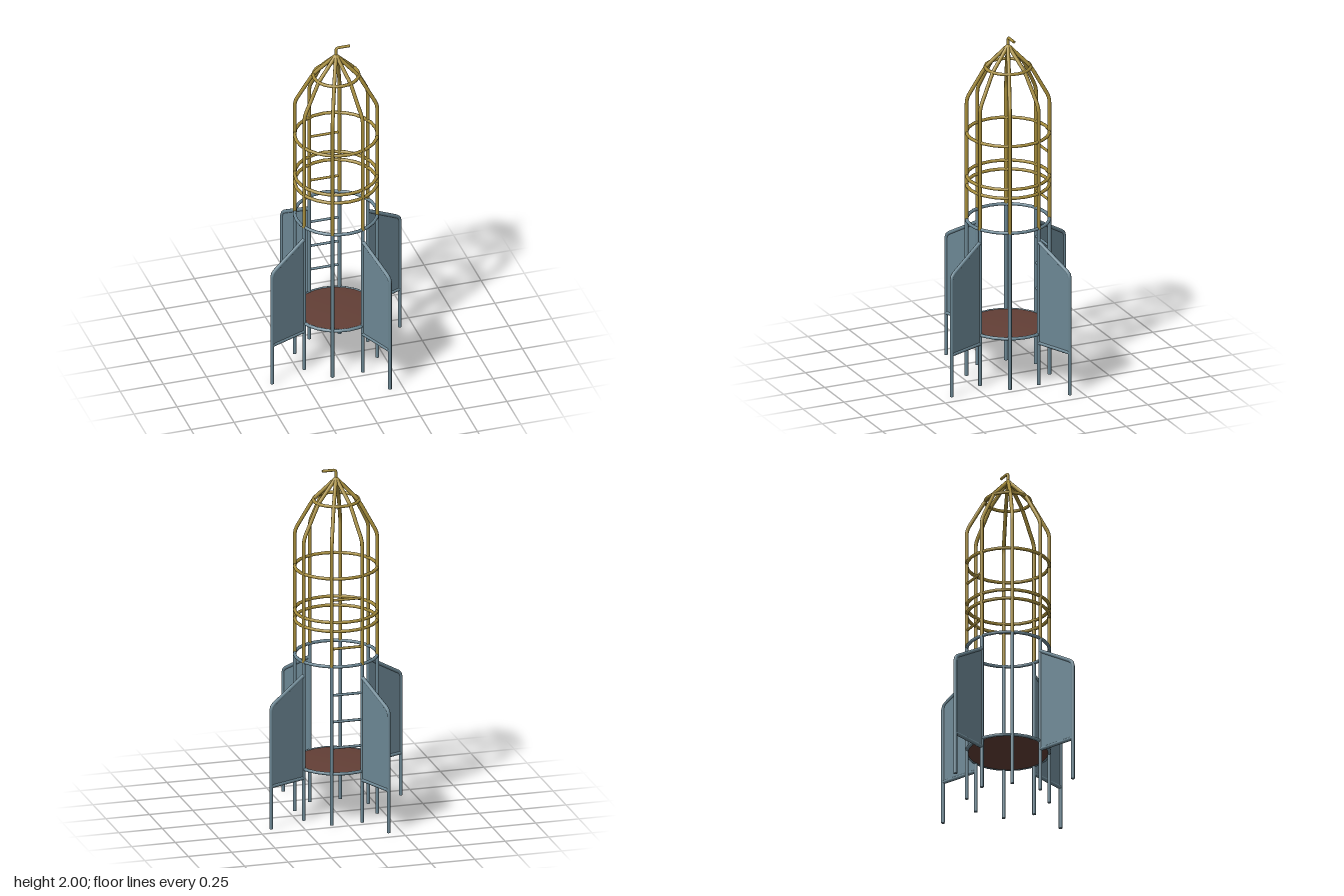
import * as THREE from 'three';
import { mergeVertices } from 'three/addons/utils/BufferGeometryUtils.js';

const steel = new THREE.MeshStandardMaterial({ color: 0x6c8794 });
steel.name = 'blueGreySteel';
const gold = new THREE.MeshStandardMaterial({ color: 0xa68d3c });
gold.name = 'mustardSteel';
const brown = new THREE.MeshStandardMaterial({ color: 0x633f36 });
brown.name = 'brownFloor';

const R = 0.229;      // radius of the cage
const FIN_R = 0.461;  // radius of the outer fin posts
const PIPE = 0.0105;
const V = (x, y, z = 0) => new THREE.Vector3(x, y, z);

function add(parent, name, geometry, material) {
  const mesh = new THREE.Mesh(geometry, material);
  mesh.name = name;
  parent.add(mesh);
  return mesh;
}

// Straight capped pipe between two points
function rod(parent, name, a, b, r, material) {
  const mesh = add(parent, name, new THREE.CylinderGeometry(r, r, a.distanceTo(b), 10), material);
  mesh.position.copy(a).add(b).multiplyScalar(0.5);
  mesh.quaternion.setFromUnitVectors(V(0, 1, 0), b.clone().sub(a).normalize());
  return mesh;
}

// Pipe through points, with rounded bends and closed ends
function bentPipe(parent, name, points, r, bend, material, segments = 48) {
  const path = new THREE.CurvePath();
  let from = points[0];
  for (let i = 1; i < points.length - 1; i++) {
    const p = points[i];
    const a = p.clone().add(points[i - 1].clone().sub(p).setLength(bend));
    const b = p.clone().add(points[i + 1].clone().sub(p).setLength(bend));
    path.add(new THREE.LineCurve3(from, a));
    path.add(new THREE.QuadraticBezierCurve3(a, p, b));
    from = b;
  }
  const end = points[points.length - 1];
  path.add(new THREE.LineCurve3(from, end));
  add(parent, name, new THREE.TubeGeometry(path, segments, r, 10), material);
  [[points[0], points[1]], [end, points[points.length - 2]]].forEach(([p, q]) => {
    const cap = add(parent, name + 'Cap', new THREE.CircleGeometry(r, 10), material);
    cap.position.copy(p);
    cap.quaternion.setFromUnitVectors(V(0, 0, 1), p.clone().sub(q).normalize());
  });
}

function ring(parent, name, y, radius, material) {
  const mesh = add(parent, name, new THREE.TorusGeometry(radius, 0.0095, 8, 24), material);
  mesh.rotation.x = Math.PI / 2;
  mesh.position.y = y;
}

// One fin lying in the xy plane, reaching out along +x
function makeFin() {
  const fin = new THREE.Group();
  fin.name = 'fin';
  bentPipe(fin, 'finFrame', [V(FIN_R, 0), V(FIN_R, 0.712), V(R, 0.845)], PIPE, 0.025, steel);
  rod(fin, 'finBottomBar', V(R, 0.247), V(FIN_R, 0.247), PIPE, steel);
  const outline = new THREE.Shape([
    [R, 0.247], [FIN_R, 0.247], [FIN_R, 0.708], [R, 0.84],
  ].map(([x, y]) => new THREE.Vector2(x, y)));
  const panel = new THREE.ExtrudeGeometry(outline, { depth: 0.008, bevelEnabled: false });
  panel.translate(0, 0, -0.004);
  add(fin, 'finPanel', panel, steel);
  return fin;
}

export function createModel() {
  const model = new THREE.Group();
  model.name = 'rocketClimbingFrame';

  // Eight uprights: steel below, mustard above, bending in to the nose
  for (let i = 0; i < 8; i++) {
    const post = new THREE.Group();
    post.name = 'upright';
    post.rotation.y = Math.PI / 8 + i * Math.PI / 4;
    rod(post, 'lowerPost', V(R, 0), V(R, 0.92), PIPE, steel);
    bentPipe(post, 'upperPost',
      [V(R, 0.92), V(R, 1.635), V(0.124, 1.822), V(0, 1.945)], PIPE, 0.03, gold, 60);
    model.add(post);
  }

  // Four fins on every second upright
  for (let i = 0; i < 4; i++) {
    const fin = makeFin();
    fin.rotation.y = Math.PI / 8 + i * Math.PI / 2;
    model.add(fin);
  }

  // Hoops
  [0.298, 0.922].forEach((y) => ring(model, 'lowerHoop', y, R, steel));
  [1.128, 1.18, 1.434].forEach((y) => ring(model, 'upperHoop', y, R, gold));
  ring(model, 'noseHoop', 1.82, 0.126, gold);

  // Ladder rungs at the back
  const hx = R * Math.sin(Math.PI / 8);
  const hz = -R * Math.cos(Math.PI / 8);
  [0.448, 0.6, 0.755, 1.025, 1.308].forEach((y) =>
    rod(model, 'rung', V(-hx, y, hz), V(hx, y, hz), 0.0075, y < 0.92 ? steel : gold));

  // Floor disc with a softly shaded rim
  let disc = new THREE.CylinderGeometry(0.226, 0.226, 0.012, 24);
  disc.deleteAttribute('uv');
  disc.deleteAttribute('normal');
  disc = mergeVertices(disc);
  disc.computeVertexNormals();
  add(model, 'floor', disc, brown).position.y = 0.298;

  // Bent pipe on the tip
  bentPipe(model, 'tipHook', [V(0, 1.93), V(0, 1.992), V(0.08, 1.992)], 0.008, 0.015, gold, 24);

  return model;
}
